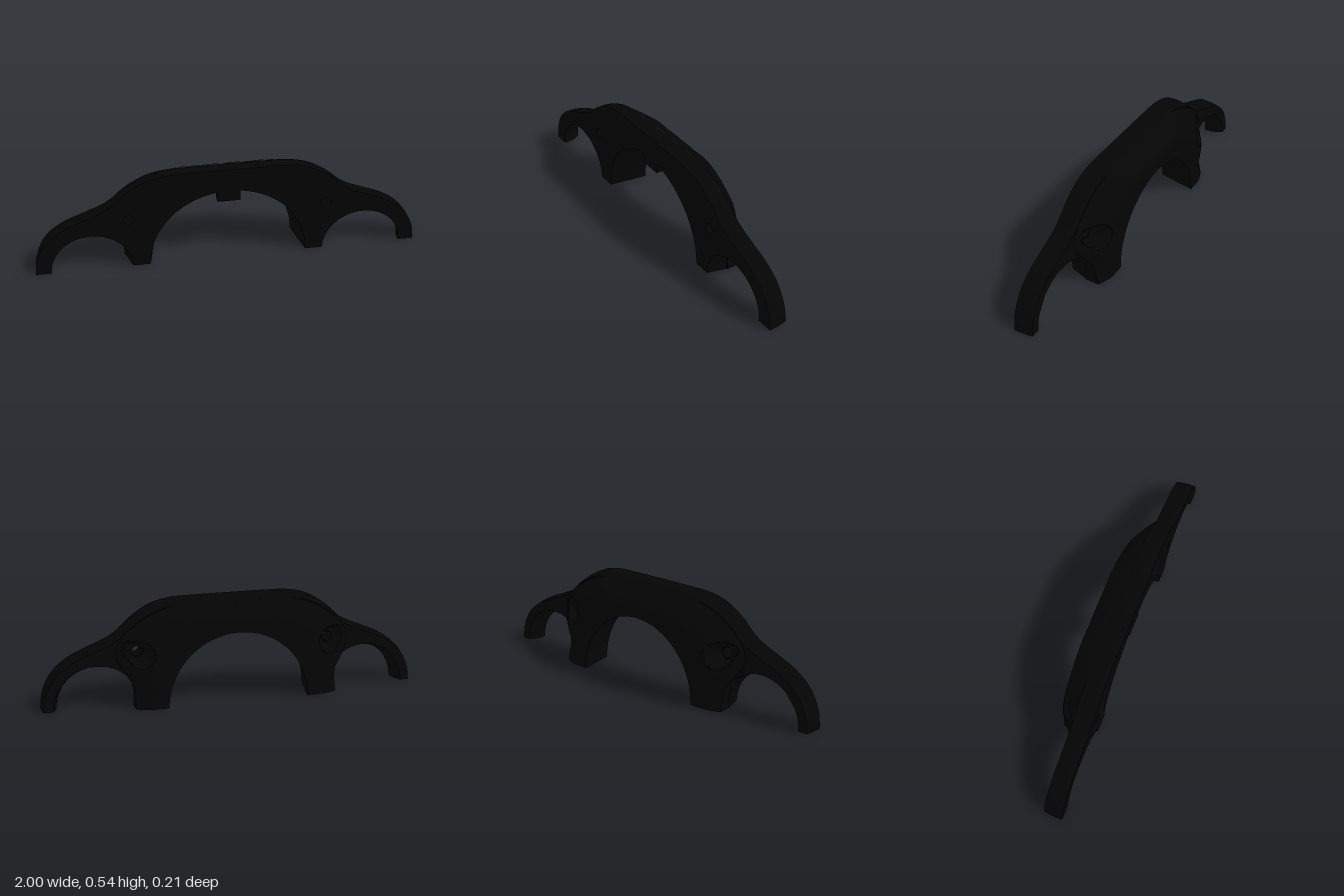
import * as THREE from 'three';
import { toCreasedNormals } from 'three/addons/utils/BufferGeometryUtils.js';

const HOLE = { x: 0.51, y: 0.286, r: 0.027 };
const SIDE = { x: 0.71, r: 0.209 };

// Piecewise linear lookup in [[key, value], ...]
function lookup(table, k) {
  for (let i = 1; i < table.length; i++) {
    const [k0, v0] = table[i - 1], [k1, v1] = table[i];
    if (k <= k1) return THREE.MathUtils.lerp(v0, v1, (k - k0) / (k1 - k0));
  }
  return table[table.length - 1][1];
}

// Front plate: three arches under a flowing outline, rear top edge rounded off
function plateGeometry() {
  const half = [[1, 0], [0.985, 0.09], [0.935, 0.185], [0.85, 0.255], [0.74, 0.305], [0.65, 0.343],
    [0.595, 0.378], [0.54, 0.43], [0.47, 0.48], [0.4, 0.513], [0.31, 0.531], [0.2, 0.534]];
  const points = [...half, ...half.map(([x, y]) => [-x, y]).reverse()];
  const curve = new THREE.CatmullRomCurve3(points.map(([x, y]) => new THREE.Vector3(x, y, 0)), false, 'centripetal');
  const outer = curve.getPoints(110);
  const key = (x, y) => x.toFixed(4) + ',' + y.toFixed(4);
  const rim = new Set(outer.map((p) => key(p.x, p.y)));

  const shape = new THREE.Shape();
  outer.forEach((p, i) => (i ? shape.lineTo(p.x, p.y) : shape.moveTo(p.x, p.y)));
  for (const [x, r] of [[-SIDE.x, SIDE.r], [0, 0.41], [SIDE.x, SIDE.r]]) {
    shape.lineTo(x - r, 0);
    shape.absarc(x, 0, r, Math.PI, 0, true);
  }
  for (const s of [-1, 1]) {
    shape.holes.push(new THREE.Path().absarc(s * HOLE.x, HOLE.y, HOLE.r, 0, Math.PI * 2, true));
  }
  const geo = new THREE.ExtrudeGeometry(shape, { depth: 0.1, steps: 6, bevelEnabled: false, curveSegments: 36 });
  const pos = geo.attributes.position;
  for (let i = 0; i < pos.count; i++) {
    const x = pos.getX(i), y = pos.getY(i), z = pos.getZ(i);
    const u = Math.max(0, (0.08 - z) / 0.08);
    const cx = Math.sign(x) * SIDE.x;
    if (rim.has(key(x, y))) pos.setXY(i, x * (1 - 0.008 * u * u), y * (1 - 0.046 * u * u));
    else if (Math.hypot(x, y) < 0.412) {
      const k = (0.39 + 0.2 * z) / 0.41; // central arch narrows to the rear
      pos.setXY(i, x * k, y * k);
    } else if (Math.hypot(x - cx, y) < SIDE.r + 0.002) {
      // side arches flare to the rear at the tip, and the leg side thickens at its foot
      const tip = (1 + (Math.abs(x) - SIDE.x) / SIDE.r) / 2;
      const foot = Math.abs(x) < SIDE.x ? Math.max(0, 1 - y / 0.13) : 0;
      const k = 1 + 0.12 * u * u * tip - 0.14 * foot * (1 - z / 0.1);
      pos.setXY(i, cx + (x - cx) * k, y * k);
    }
  }
  geo.deleteAttribute('uv');
  return toCreasedNormals(geo, 0.6);
}

// Rear body: rounded shell swept round the central arch, scooped out at the bolt holes
function bodyGeometry() {
  const outerRadius = [[0, 0.535], [8, 0.538], [13, 0.556], [18, 0.615], [22, 0.665], [27, 0.69], [33, 0.685],
    [38, 0.667], [45, 0.646], [55, 0.609], [65, 0.564], [75, 0.527], [90, 0.509]];
  const slopeWidth = [[0, 0.1], [12, 0.12], [27, 0.21], [45, 0.17], [65, 0.1], [90, 0.09]];
  const nT = 240, nR = 50, row = nR + 4, holeR = Math.hypot(HOLE.x, HOLE.y);
  const verts = [], index = [];
  for (let i = 0; i <= nT; i++) {
    const deg = (i / nT) * 180, a = THREE.MathUtils.degToRad(deg), d = Math.min(deg, 180 - deg);
    const R = lookup(outerRadius, d), w = lookup(slopeWidth, d);
    const base = 0.075 * Math.sqrt(Math.max(0, 1 - d / 22));
    const put = (r, z) => verts.push(r * Math.cos(a), r * Math.sin(a), z);
    put(0.39, 0);
    for (let j = 0; j <= nR; j++) {
      const r = THREE.MathUtils.lerp(0.37, R, j / nR);
      const f = Math.sin(Math.min(1, (R - r) / w) * Math.PI / 2);
      const dx = Math.abs(r * Math.cos(a)) - HOLE.x, dy = r * Math.sin(a) - HOLE.y;
      // the scoop is stretched outwards, away from the central arch
      const along = (dx * HOLE.x + dy * HOLE.y) / holeR, across = (dx * HOLE.y - dy * HOLE.x) / holeR;
      const scoop = Math.max(0, (Math.hypot(along > 0 ? along * 0.5 : along, across) - 0.035) * 2.5);
      put(r, -Math.min(scoop, base + (0.104 - base) * f));
    }
    put(R, 0);
    // front-facing ledge where the legs stand proud of the side arches
    put(d < 24 ? 0.46 : R, 0);
  }
  for (let i = 0; i < nT; i++) {
    for (let j = 0; j < row - 1; j++) {
      const a = i * row + j, b = a + row;
      // leave the scoop floor open so the bolt hole goes through
      if (j <= nR && [a, a + 1, b, b + 1].every((v) => Math.abs(verts[v * 3 + 2]) < 1e-6)) continue;
      index.push(a, b, a + 1, b, b + 1, a + 1);
    }
  }
  // flat feet
  for (const i of [0, nT]) {
    const c = verts.length / 3;
    verts.push(i ? -0.45 : 0.45, 0, 0);
    for (let j = 0; j < row - 2; j++) {
      const p = i * row + j;
      if (i) index.push(c, p + 1, p);
      else index.push(c, p, p + 1);
    }
  }
  const geo = new THREE.BufferGeometry();
  geo.setAttribute('position', new THREE.Float32BufferAttribute(verts, 3));
  geo.setIndex(index);
  return toCreasedNormals(geo, 0.6);
}

export function createModel() {
  const group = new THREE.Group();
  group.name = 'archedBracket';
  const black = new THREE.MeshStandardMaterial({ color: 0x040404 });
  black.name = 'black';

  const add = (name, geo) => {
    const mesh = new THREE.Mesh(geo, black);
    mesh.name = name;
    group.add(mesh);
    return mesh;
  };
  add('frontPlate', plateGeometry());
  add('rearBody', bodyGeometry());
  // Small locating tab under the crown of the central arch
  add('locatingTab', new THREE.BoxGeometry(0.117, 0.07, 0.04)).position.set(0, 0.384, 0.0795);

  // Slight forward lean
  group.rotation.x = 0.0125;
  group.position.y = 0.00125;
  return group;
}
